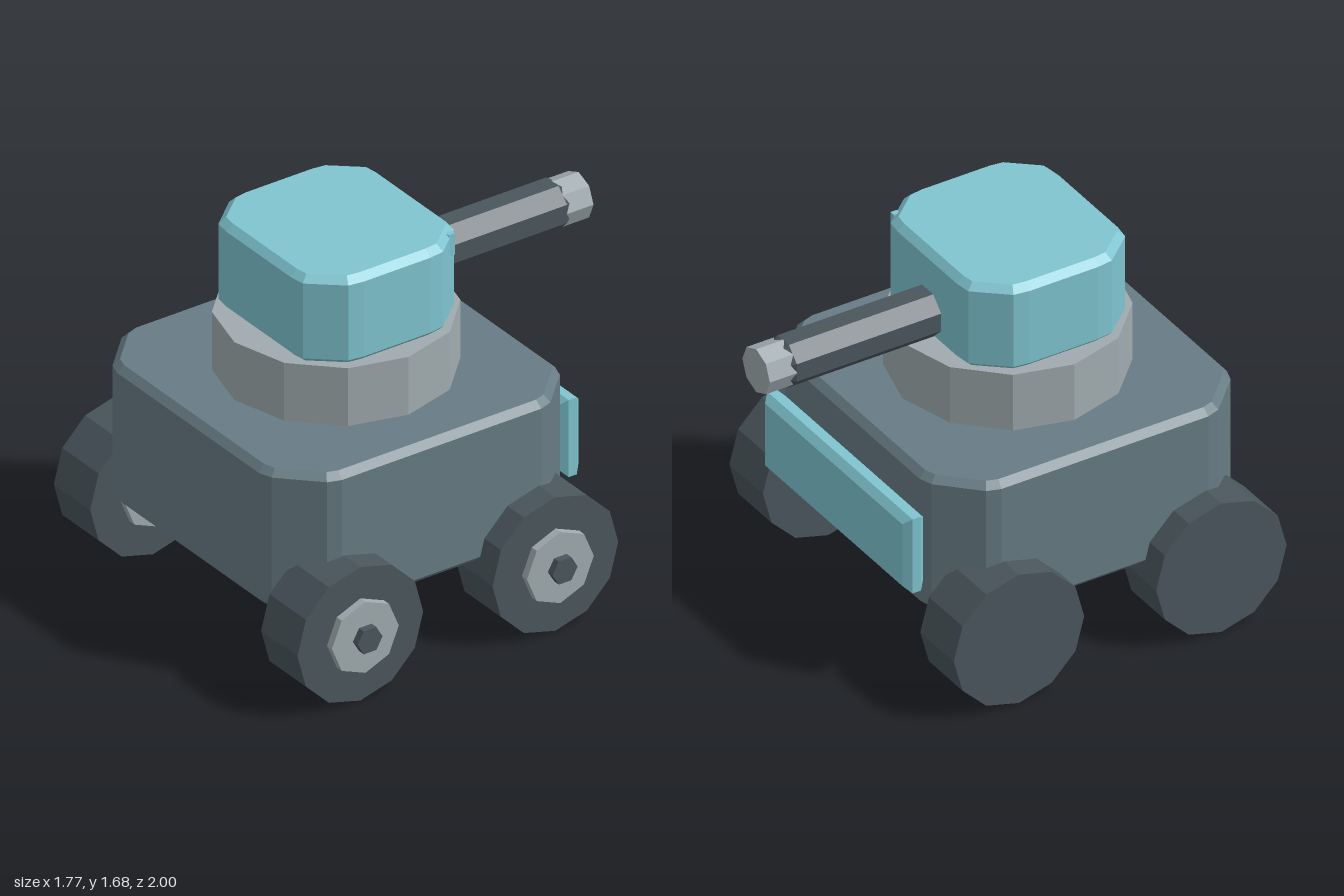
import * as THREE from 'three';

const paint = (name, color) => new THREE.MeshStandardMaterial({ name, color, flatShading: true });

export function createModel() {
  const slate = paint('slate body', 0x677b84);
  const charcoal = paint('charcoal', 0x4a565d);
  const grey = paint('light grey', 0xa0abaf);
  const cyan = paint('cyan', 0x7fc4d0);

  const CX = -0.035; // centre line of the hull
  const model = new THREE.Group();
  model.name = 'toyTank';

  const add = (parent, name, geometry, material, x, y, z) => {
    const mesh = new THREE.Mesh(geometry, material);
    mesh.name = name;
    mesh.position.set(x, y, z);
    parent.add(mesh);
    return mesh;
  };

  // Bevelled prism along z; each corner is cut by the points [inset from side, inset from end]
  const prism = (w, h, depth, corner, bevel) => {
    const pts = [];
    const quadrants = [[1, 1], [-1, 1], [-1, -1], [1, -1]];
    quadrants.forEach(([sx, sy], i) => {
      const cut = corner.map(([a, b]) => new THREE.Vector2(sx * (w / 2 - a), sy * (h / 2 - b)));
      pts.push(...(i % 2 ? cut.reverse() : cut));
    });
    const geometry = new THREE.ExtrudeGeometry(new THREE.Shape(pts), {
      depth: depth - 2 * bevel, bevelEnabled: true, bevelSegments: 1,
      bevelSize: bevel, bevelThickness: bevel, bevelOffset: -bevel,
    });
    return geometry.center();
  };

  // Hull
  const hullCorner = [[0, 0.24], [0.02, 0.18], [0.18, 0.02], [0.24, 0]];
  add(model, 'hull', prism(1.47, 1.47, 0.65, hullCorner, 0.03).rotateX(-Math.PI / 2),
    slate, CX, 0.685, 0.205);

  // Turret ring and turret
  add(model, 'turretRing', new THREE.CylinderGeometry(0.505, 0.505, 0.29, 12), grey, CX, 1.135, 0.205);
  const turretCorner = [[0, 0.22], [0.01, 0.15], [0.13, 0.01], [0.2, 0]];
  add(model, 'turret', prism(0.85, 0.77, 0.41, turretCorner, 0.03).rotateX(-Math.PI / 2),
    cyan, CX, 1.475, 0.205);
  add(model, 'turretPin', new THREE.BoxGeometry(0.025, 0.1, 0.03), cyan, 0.295, 1.615, -0.125);

  // Barrel with a chamfered end and a lighter muzzle
  const tube = (rBack, rFront, length, turn) => new THREE.CylinderGeometry(rBack, rFront, length, 8)
    .rotateY(turn).rotateX(Math.PI / 2);
  const gun = new THREE.Group();
  gun.name = 'gun';
  gun.position.set(-0.037, 1.395, 0);
  model.add(gun);
  add(gun, 'barrel', tube(0.111, 0.111, 0.82, Math.PI / 8), charcoal, 0, 0, -0.46);
  add(gun, 'barrelEnd', tube(0.111, 0.09, 0.03, Math.PI / 8), charcoal, 0, 0, -0.885);
  add(gun, 'muzzle', tube(0.104, 0.104, 0.13, 0), grey, 0, 0, -0.935);

  // Rear panel
  add(model, 'rearPanel', prism(1.1, 0.36, 0.1, [[0, 0]], 0.03), cyan, -0.038, 0.66, -0.58);

  // Wheels, each with a hub and cap on its +x face
  const disc = (r, width, sides) => new THREE.CylinderGeometry(r, r, width, sides).rotateZ(Math.PI / 2);
  for (const [side, x] of [['right', -0.757], ['left', 0.688]]) {
    for (const [end, z] of [['Front', 0.69], ['Rear', -0.278]]) {
      const wheel = new THREE.Group();
      wheel.name = side + end + 'Wheel';
      wheel.position.set(x, 0.312, z);
      add(wheel, 'tyre', disc(0.312, 0.254, 12), charcoal, 0, 0, 0);
      add(wheel, 'hub', disc(0.166, 0.05, 8), grey, 0.137, 0, 0);
      add(wheel, 'hubCap', disc(0.062, 0.05, 6), charcoal, 0.17, 0, 0);
      model.add(wheel);
    }
  }
  return model;
}
